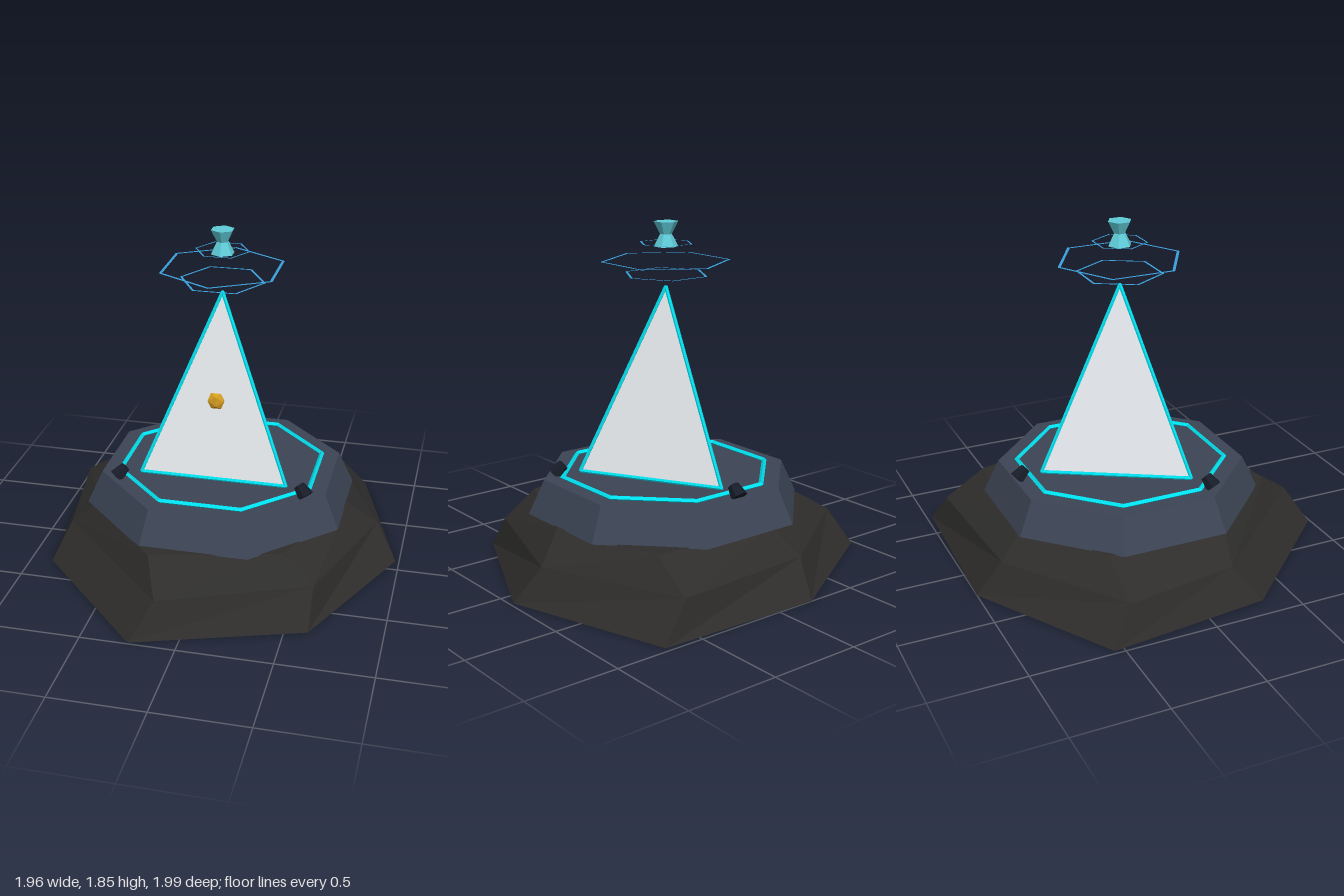
import * as THREE from 'three';

const CX = -0.005, CZ = -0.083; // vertical axis of everything above the rock

const paint = (color, extra = {}) => {
  const m = new THREE.MeshStandardMaterial({ color, flatShading: true, ...extra });
  return m;
};

const MAT = {
  rock: paint(0x2e2d2c),
  platform: paint(0x3c4454),
  node: paint(0x161c28),
  glow: paint(0x00e0ee),
  body: paint(0xe4e8ec),
  gold: paint(0xd9a020),
  halo: paint(0x3a9fdc, { side: THREE.DoubleSide }),
  beacon: paint(0x5fccd8),
};

function add(parent, name, geometry, material, x = 0, y = 0, z = 0) {
  const mesh = new THREE.Mesh(geometry, material);
  mesh.name = name;
  mesh.position.set(x, y, z);
  parent.add(mesh);
  return mesh;
}

// Thin bar between two points
function bar(parent, name, a, b, radius, material) {
  const mesh = add(parent, name, new THREE.CylinderGeometry(radius, radius, a.distanceTo(b), 6), material);
  mesh.position.copy(a).add(b).multiplyScalar(0.5);
  mesh.quaternion.setFromUnitVectors(new THREE.Vector3(0, 1, 0), b.clone().sub(a).normalize());
}

// Irregular seven-sided rock lofted through three outlines [x, z]
function rockGeometry() {
  const levels = [
    [0, [[-0.22, -1], [0.7, -0.97], [0.98, -0.09], [0.62, 0.7], [-0.25, 0.99], [-0.88, 0.33], [-0.98, -0.55]]],
    [0.19, [[-0.26, -0.87], [0.54, -0.92], [0.86, -0.17], [0.62, 0.56], [-0.14, 0.88], [-0.8, 0.19], [-0.9, -0.43]]],
    [0.335, [[-0.18, -0.72], [0.53, -0.7], [0.7, -0.08], [0.45, 0.52], [-0.22, 0.69], [-0.64, 0.22], [-0.66, -0.44]]],
  ];
  const rings = levels.map(([y, pts]) => pts.map(([x, z]) => [x, y, z]));
  const pos = [];
  const tri = (...corners) => corners.forEach((c) => pos.push(...c));
  const n = 7;
  for (let i = 0; i < n; i++) {
    const j = (i + 1) % n;
    for (let k = 0; k < 2; k++) {
      const lo = rings[k], hi = rings[k + 1];
      tri(lo[j], lo[i], hi[i]);
      tri(lo[j], hi[i], hi[j]);
    }
    tri([0, 0, 0], rings[0][i], rings[0][j]);
    tri([0, 0.335, 0], rings[2][j], rings[2][i]);
  }
  const g = new THREE.BufferGeometry();
  g.setAttribute('position', new THREE.Float32BufferAttribute(pos, 3));
  g.computeVertexNormals();
  return g;
}

export function createModel() {
  const model = new THREE.Group();
  model.name = 'crystalShrine';

  add(model, 'rockBase', rockGeometry(), MAT.rock);

  const shrine = new THREE.Group();
  shrine.name = 'shrine';
  shrine.position.set(CX, 0, CZ);
  model.add(shrine);

  // Octagonal platform with its glowing inlay
  add(shrine, 'platform', new THREE.CylinderGeometry(0.665, 0.75, 0.18, 8).rotateY(Math.PI / 8),
    MAT.platform, 0, 0.42, 0);
  add(shrine, 'platformGlowRing',
    new THREE.TorusGeometry(0.565, 0.014, 4, 8).rotateZ(Math.PI / 8).rotateX(-Math.PI / 2),
    MAT.glow, 0, 0.517, 0);

  // Three-sided obelisk, one corner to the back
  const y0 = 0.52, y1 = 1.51, r = 0.46;
  add(shrine, 'obelisk', new THREE.ConeGeometry(r, y1 - y0, 3).rotateY(Math.PI),
    MAT.body, 0, (y0 + y1) / 2, 0);

  const apex = new THREE.Vector3(0, y1, 0);
  const angles = [0, 1, 2].map((i) => Math.PI + (i * 2 * Math.PI) / 3);
  const corners = angles.map((a) => new THREE.Vector3(Math.sin(a) * r, y0 + 0.005, Math.cos(a) * r));

  angles.forEach((a, i) => {
    // Glowing trim along the obelisk edges
    bar(shrine, 'obeliskEdge', corners[i], apex, 0.01, MAT.glow);
    bar(shrine, 'obeliskBaseEdge', corners[i], corners[(i + 1) % 3], 0.01, MAT.glow);

    // Tapered node leaning in towards the obelisk
    const holder = new THREE.Group();
    holder.name = 'nodeHolder';
    holder.rotation.y = a;
    shrine.add(holder);
    const node = add(holder, 'node', new THREE.CylinderGeometry(0.03, 0.045, 0.07, 6),
      MAT.node, 0, 0.54, 0.575);
    node.rotation.x = -0.8;
  });

  // Flattened gold gem on the front face
  const gem = add(shrine, 'gem', new THREE.IcosahedronGeometry(0.052, 0), MAT.gold, 0, 0.95, 0.155);
  gem.scale.z = 0.33;

  // Floating hexagonal halos: height, outer radius, band width, turn
  [[1.575, 0.23, 0.014, 0], [1.645, 0.342, 0.017, Math.PI / 6], [1.738, 0.146, 0.01, 0]]
    .forEach(([y, radius, width, turn]) => {
      const ring = new THREE.RingGeometry(radius - width, radius, 6, 1, turn).rotateX(-Math.PI / 2);
      add(shrine, 'halo', ring, MAT.halo, 0, y, 0);
    });

  // Hourglass beacon
  add(shrine, 'beaconTop', new THREE.CylinderGeometry(0.064, 0.031, 0.065, 6), MAT.beacon, 0, 1.8175, 0);
  add(shrine, 'beaconBottom', new THREE.CylinderGeometry(0.031, 0.064, 0.065, 6), MAT.beacon, 0, 1.7525, 0);

  return model;
}
